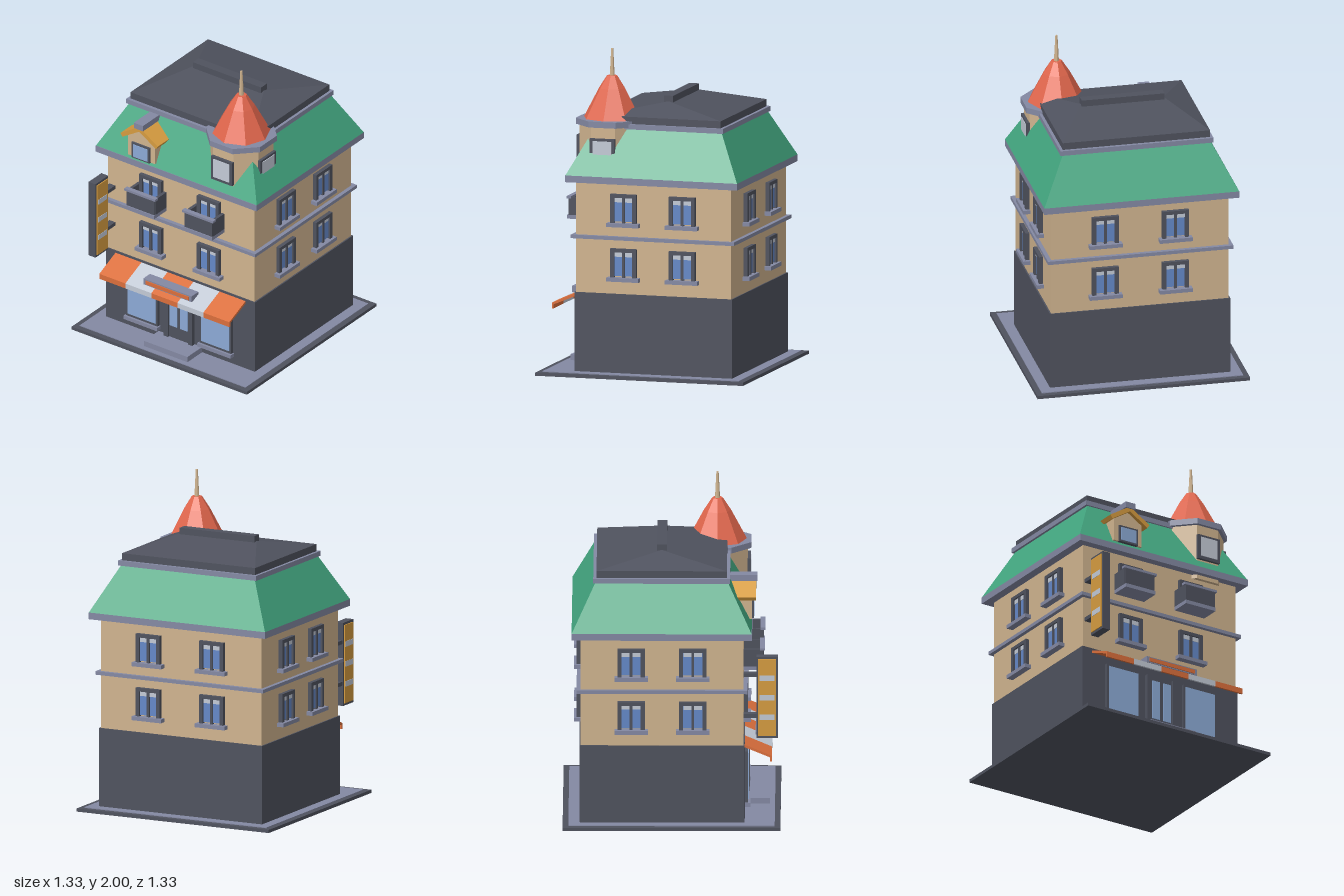
import * as THREE from 'three';

const mat = (name, color) => {
  const m = new THREE.MeshStandardMaterial({ color });
  m.name = name;
  return m;
};

export function createModel() {
  const dark = mat('slate', 0x4f525e), trim = mat('trim', 0x8489a3), wall = mat('sandWall', 0xd0b48f);
  const green = mat('greenRoof', 0x43a680), coral = mat('coralTile', 0xe0664c), orange = mat('orangeCloth', 0xdb6f3c);
  const yellow = mat('yellow', 0xd69c40), white = mat('paleGrey', 0xc3cad6);
  const blue = mat('windowGlass', 0x6488c8), pale = mat('shopGlass', 0x8caad6);

  const model = new THREE.Group();
  model.name = 'cornerShopHouse';

  const add = (parent, name, geo, m) => {
    const mesh = new THREE.Mesh(geo, m);
    mesh.name = name;
    parent.add(mesh);
    return mesh;
  };
  // box given by its limits on each axis
  const box = (parent, name, m, x0, x1, y0, y1, z0, z1) => {
    const mesh = add(parent, name, new THREE.BoxGeometry(x1 - x0, y1 - y0, z1 - z0), m);
    mesh.position.set((x0 + x1) / 2, (y0 + y1) / 2, (z0 + z1) / 2);
    return mesh;
  };
  const group = (name, x = 0, y = 0, z = 0, turn = 0, parent = model) => {
    const g = new THREE.Group();
    g.name = name;
    g.position.set(x, y, z);
    g.rotation.y = turn;
    parent.add(g);
    return g;
  };
  const flat = (geo) => {
    const g = geo.index ? geo.toNonIndexed() : geo;
    g.computeVertexNormals();
    return g;
  };
  // tapered block between two rectangles [halfWidth, back, front, height]
  const taper = (name, m, low, high) => {
    const ring = ([w, b, f, y]) => [-w, y, f, w, y, f, w, y, b, -w, y, b];
    const index = [4, 5, 6, 4, 6, 7, 0, 2, 1, 0, 3, 2];
    for (let i = 0; i < 4; i++) {
      const j = (i + 1) % 4;
      index.push(i, j, 4 + j, i, 4 + j, 4 + i);
    }
    const geo = new THREE.BufferGeometry();
    geo.setAttribute('position', new THREE.Float32BufferAttribute([...ring(low), ...ring(high)], 3));
    geo.setIndex(index);
    return add(model, name, flat(geo), m);
  };
  const extrude = (points, depth) => new THREE.ExtrudeGeometry(
    new THREE.Shape(points.map(([x, y]) => new THREE.Vector2(x, y))), { depth, bevelEnabled: false });
  const octagon = (parent, name, m, rTop, rLow, y0, y1, turn = 0) => {
    const geo = new THREE.CylinderGeometry(rTop, rLow, y1 - y0, 8).rotateY(turn);
    add(parent, name, flat(geo), m).position.y = (y0 + y1) / 2;
  };

  // ground and walls
  box(model, 'plinth', dark, -0.667, 0.667, 0, 0.02, -0.667, 0.667);
  box(model, 'pavement', trim, -0.632, 0.632, 0.02, 0.025, -0.632, 0.632);
  box(model, 'groundFloor', dark, -0.566, 0.566, 0.02, 0.515, -0.565, 0.448);
  box(model, 'upperFloors', wall, -0.557, 0.557, 0.515, 1.2, -0.557, 0.441);
  box(model, 'beltCourse', trim, -0.582, 0.582, 0.85, 0.872, -0.582, 0.466);

  // roof
  box(model, 'cornice', trim, -0.612, 0.612, 1.2, 1.242, -0.612, 0.494);
  taper('mansardRoof', green, [0.612, -0.612, 0.491, 1.242], [0.465, -0.468, 0.347, 1.525]);
  box(model, 'roofTrim', trim, -0.48, 0.48, 1.525, 1.556, -0.48, 0.358);
  box(model, 'roofKerb', dark, -0.462, 0.462, 1.556, 1.6, -0.46, 0.338);
  taper('hipRoof', dark, [0.462, -0.46, 0.338, 1.6], [0.26, -0.062, -0.06, 1.675]);
  box(model, 'ridgeCap', dark, -0.26, 0.26, 1.655, 1.71, -0.09, -0.03);

  // windows, each facing +z with its wall at z = 0 and y = 0 at the bottom of the frame
  const sashWindow = (x, y, z, turn, sill = true) => {
    const g = group('window', x, y, z, turn);
    box(g, 'windowPane', blue, -0.075, 0.075, 0.01, 0.165, 0, 0.012);
    for (const s of [-1, 1]) {
      box(g, 'windowJamb', dark, s * 0.071 - 0.0125, s * 0.071 + 0.0125, 0, 0.18, 0, 0.025);
      box(g, 'windowBlind', white, s * 0.033 - 0.025, s * 0.033 + 0.025, 0.13, 0.158, 0.012, 0.015);
    }
    box(g, 'windowMullion', dark, -0.009, 0.009, 0, 0.17, 0, 0.02);
    box(g, 'windowHead', dark, -0.0835, 0.0835, 0.158, 0.18, 0, 0.025);
    if (sill) box(g, 'windowSill', trim, -0.103, 0.103, -0.022, 0.002, 0, 0.043);
  };
  for (const [y, upper] of [[0.617, false], [0.955, true]]) {
    for (const x of [-0.22, 0.22]) {
      sashWindow(x, y, 0.441, 0, !upper);
      sashWindow(x, y, -0.557, Math.PI);
    }
    for (const z of [0.13, -0.247]) {
      sashWindow(0.557, y, z, Math.PI / 2);
      sashWindow(-0.557, y, z, -Math.PI / 2);
    }
  }

  // balconies
  for (const x of [-0.22, 0.22]) {
    const g = group('balcony', x, 0, 0.441);
    box(g, 'balconyFloor', trim, -0.108, 0.108, 0.928, 0.952, 0, 0.128);
    box(g, 'balconyFront', dark, -0.106, 0.106, 0.952, 1.055, 0.108, 0.122);
    box(g, 'balconyRail', trim, -0.118, 0.118, 1.055, 1.07, 0.1, 0.13);
    for (const s of [-1, 1])
      box(g, 'balconySide', dark, s * 0.098 - 0.01, s * 0.098 + 0.01, 0.952, 1.06, 0, 0.11);
  }

  // shop front
  for (const x of [-0.28, 0.28]) {
    const g = group('shopWindow', x, 0, 0.448);
    box(g, 'shopWindowFrame', dark, -0.12, 0.12, 0.1, 0.43, 0, 0.02);
    box(g, 'shopWindowPane', pale, -0.107, 0.107, 0.12, 0.415, 0.02, 0.025);
    box(g, 'shopWindowSill', trim, -0.128, 0.128, 0.078, 0.102, 0, 0.035);
  }
  const door = group('shopDoor', 0, 0, 0.448);
  box(door, 'doorFrame', dark, -0.108, 0.108, 0.06, 0.43, 0, 0.015);
  for (const s of [-1, 1]) {
    box(door, 'doorPost', dark, s * 0.092 - 0.016, s * 0.092 + 0.016, 0.06, 0.43, 0, 0.028);
    box(door, 'doorPane', pale, s * 0.04 - 0.028, s * 0.04 + 0.028, 0.145, 0.4, 0.015, 0.02);
  }
  box(model, 'doorStep', trim, -0.165, 0.165, 0.025, 0.062, 0.44, 0.6);

  // striped awning with a name board left blank
  const awningProfile = [[0.44, 0.505], [0.615, 0.43], [0.615, 0.395], [0.603, 0.395], [0.603, 0.42], [0.44, 0.488]];
  for (let i = 0; i < 5; i++) {
    const geo = extrude(awningProfile, 0.198).rotateY(-Math.PI / 2);
    add(model, 'awningStripe', geo, i % 2 ? white : orange).position.x = -0.297 + i * 0.198;
  }
  const board = group('awningBoard', 0, 0.47, 0.548);
  box(board, 'boardBody', trim, -0.184, 0.184, -0.02, 0.02, -0.035, 0.035);
  box(board, 'boardFace', orange, -0.165, 0.165, -0.012, 0.012, 0.035, 0.04);

  // hanging sign
  const sign = group('hangingSign', -0.524, 0, 0.585);
  box(sign, 'signBody', dark, -0.026, 0.026, 0.56, 1.08, -0.066, 0.066);
  for (const s of [-1, 1]) {
    const plate = (name, m, y0, y1, hz, out) =>
      box(sign, name, m, s * out - 0.003, s * out + 0.003, y0, y1, -hz, hz);
    plate('signFace', yellow, 0.575, 1.065, 0.055, 0.029);
    for (const y of [0.695, 0.82, 0.945]) plate('signBar', white, y - 0.017, y + 0.017, 0.045, 0.031);
  }
  for (const y of [0.7, 0.96]) box(sign, 'signBracket', dark, -0.022, 0.022, y - 0.012, y + 0.012, -0.146, -0.066);

  // dormer
  const dormer = group('dormer', -0.264, 0, 0);
  add(dormer, 'dormerBody', extrude([[-0.102, 1.265], [0.102, 1.265], [0.102, 1.42], [0, 1.485], [-0.102, 1.42]], 0.17), wall)
    .position.z = 0.322;
  add(dormer, 'dormerRoof', extrude([[-0.142, 1.415], [-0.128, 1.392], [0, 1.472], [0.128, 1.392], [0.142, 1.415], [0, 1.505]], 0.167), yellow)
    .position.z = 0.35;
  box(dormer, 'dormerRidge', trim, -0.035, 0.035, 1.49, 1.528, 0.35, 0.525);
  box(dormer, 'dormerWindowFrame', dark, -0.068, 0.068, 1.262, 1.37, 0.48, 0.503);
  box(dormer, 'dormerPane', pale, -0.055, 0.055, 1.272, 1.358, 0.503, 0.507);

  // corner turret
  const turret = group('turret', 0.337, 0, 0.277);
  const eighth = Math.PI / 8, toCorner = 1 / Math.cos(eighth);
  octagon(turret, 'turretBody', wall, 0.187 * toCorner, 0.187 * toCorner, 1.175, 1.54, eighth);
  octagon(turret, 'turretEave', trim, 0.207 * toCorner, 0.207 * toCorner, 1.535, 1.572, eighth);
  octagon(turret, 'turretRoof', coral, 0.083, 0.18, 1.572, 1.755);
  octagon(turret, 'turretRoofTop', coral, 0.033, 0.083, 1.755, 1.832);
  octagon(turret, 'spire', wall, 0.007, 0.016, 1.825, 2);
  for (const turn of [0, Math.PI / 2]) {
    const g = group('turretWindow', 0, 0, 0, turn, turret);
    box(g, 'turretWindowFrame', dark, -0.08, 0.08, 1.305, 1.467, 0.18, 0.205);
    box(g, 'turretPane', white, -0.06, 0.06, 1.325, 1.452, 0.205, 0.209);
  }

  return model;
}
